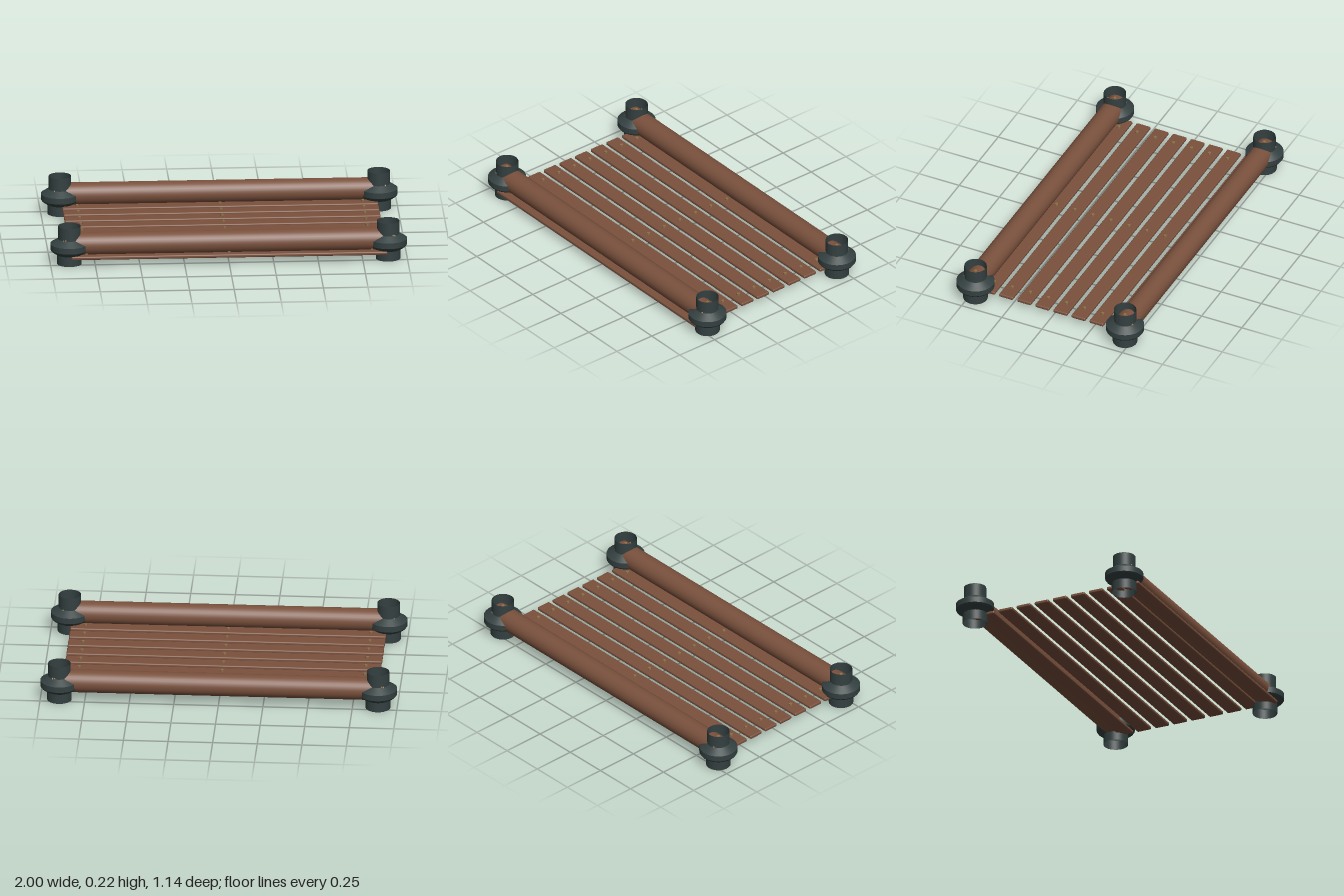
import * as THREE from 'three';
import { RoundedBoxGeometry } from 'three/addons/geometries/RoundedBoxGeometry.js';

const wood = new THREE.MeshStandardMaterial({ name: 'brown wood', color: 0x7a513d });
const iron = new THREE.MeshStandardMaterial({ name: 'dark iron', color: 0x344040, side: THREE.DoubleSide });
const brass = new THREE.MeshStandardMaterial({ name: 'dull brass', color: 0x8c7048 });

const HUB_X = 0.893, HUB_Z = 0.465, RAIL_Y = 0.114, RAIL_R = 0.064;

function add(parent, name, geometry, material, x, y, z) {
  const mesh = new THREE.Mesh(geometry, material);
  mesh.name = name;
  mesh.position.set(x, y, z);
  parent.add(mesh);
  return mesh;
}

// Open corner sleeve: each profile segment is its own lathe so the edges stay crisp
function makeHub() {
  const hub = new THREE.Group();
  hub.name = 'cornerHub';
  const sections = [
    [[0.069, 0], [0.069, 0.056]],
    [[0.069, 0.056], [0.084, 0.064], [0.1, 0.075], [0.107, 0.085]],
    [[0.107, 0.085], [0.107, 0.118]],
    [[0.107, 0.118], [0.063, 0.146]],
    [[0.063, 0.146], [0.063, 0.22]],
  ];
  for (const s of sections) {
    const points = s.map(([r, y]) => new THREE.Vector2(r, y));
    add(hub, 'hubSleeve', new THREE.LatheGeometry(points, 40), iron, 0, 0, 0);
  }
  return hub;
}

export function createModel() {
  const model = new THREE.Group();
  model.name = 'slattedFrame';
  const nailGeometry = new THREE.CylinderGeometry(0.009, 0.009, 0.011, 12);
  const screwGeometry = new THREE.SphereGeometry(0.006, 10, 8);

  // Floor slats, each held by three nails
  const slatGeometry = new RoundedBoxGeometry(1.77, 0.02, 0.086, 3, 0.007);
  for (let i = 0; i < 9; i++) {
    const z = -0.394 + i * 0.1125;
    add(model, 'slat', slatGeometry, wood, 0, 0.053, z);
    for (const x of [-0.8, 0, 0.8]) add(model, 'slatNail', nailGeometry, brass, x, 0.067, z);
  }

  // Round side rails with a hub at each end
  const railGeometry = new THREE.CylinderGeometry(RAIL_R, RAIL_R, 1.86, 32);
  for (const sz of [-1, 1]) {
    const z = sz * HUB_Z;
    add(model, 'rail', railGeometry, wood, 0, RAIL_Y, z).rotation.z = Math.PI / 2;
    for (const sx of [-1, 1]) {
      const x = sx * HUB_X;
      const hub = makeHub();
      hub.position.set(x, 0, z);
      model.add(hub);
      add(model, 'railScrew', nailGeometry, brass, x, RAIL_Y + RAIL_R + 0.003, z);
      // Small set screw on the outer side of the neck
      add(hub, 'setScrew', screwGeometry, brass, sx * 0.024, 0.148, sz * 0.057);
    }
  }
  return model;
}
